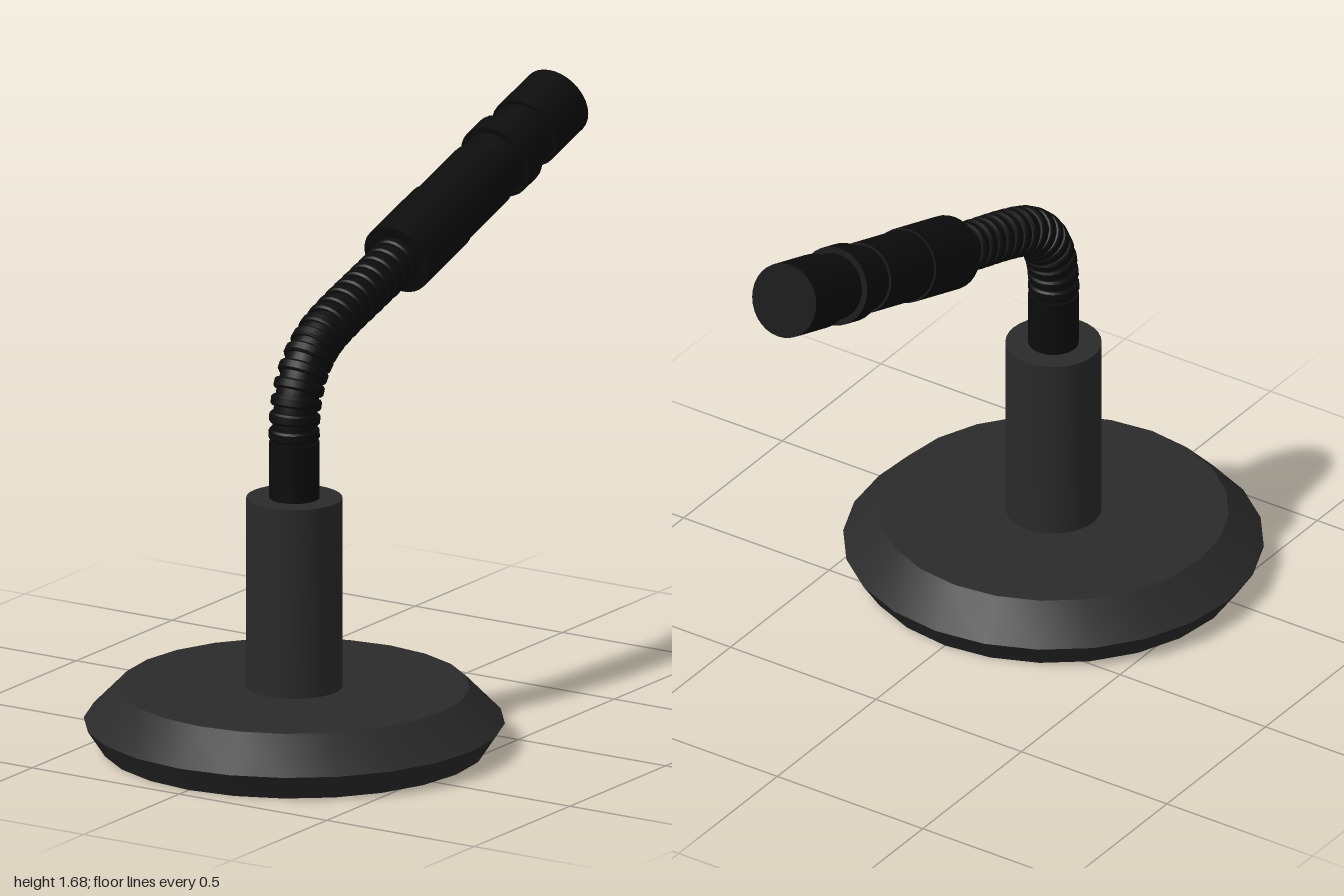
import * as THREE from 'three';
import { toCreasedNormals } from 'three/addons/utils/BufferGeometryUtils.js';

const UP = new THREE.Vector3(0, 1, 0);
const standMat = new THREE.MeshStandardMaterial({ color: 0x2a2a2a });
const micMat = new THREE.MeshStandardMaterial({ color: 0x0c0c0c });

// Solid of revolution from [radius, height] pairs, bottom to top
function turned(name, profile, sides, material) {
  const points = profile.map(([r, y]) => new THREE.Vector2(r, y));
  const geometry = toCreasedNormals(new THREE.LatheGeometry(points, sides), 0.5);
  const mesh = new THREE.Mesh(geometry, material);
  mesh.name = name;
  return mesh;
}

export function createModel() {
  const model = new THREE.Group();
  model.name = 'deskMicrophone';

  // Weighted base and stem
  const stand = new THREE.Group();
  stand.name = 'stand';
  stand.position.z = 0.4;
  stand.add(
    turned('base', [[0, 0], [0.55, 0], [0.6, 0.075], [0.5, 0.177], [0, 0.177]], 24, standMat),
    turned('stem', [[0, 0.17], [0.137, 0.17], [0.137, 0.735], [0, 0.735]], 32, standMat),
    turned('neckSocket', [[0, 0.73], [0.072, 0.73], [0.072, 0.9], [0, 0.9]], 32, micMat)
  );
  model.add(stand);

  // Flexible neck: a thin core with evenly spaced ribs
  const path = new THREE.CatmullRomCurve3([
    [0.4, 0.88], [0.4, 0.95], [0.385, 1.03], [0.343, 1.11], [0.27, 1.173],
    [0.17, 1.215], [0, 1.268], [-0.15, 1.315]
  ].map(([z, y]) => new THREE.Vector3(0, y, z)));
  const gooseneck = new THREE.Group();
  gooseneck.name = 'gooseneck';
  const core = new THREE.Mesh(new THREE.TubeGeometry(path, 60, 0.062, 24), micMat);
  core.name = 'neckCore';
  gooseneck.add(core);
  const ribCount = 17;
  for (let i = 0; i < ribCount; i++) {
    const u = (i + 1) / (ribCount + 0.5);
    const rib = turned('neckRib',
      [[0, -0.016], [0.068, -0.016], [0.073, -0.01], [0.073, 0.01], [0.068, 0.016], [0, 0.016]], 24, micMat);
    rib.position.copy(path.getPointAt(u));
    rib.quaternion.setFromUnitVectors(UP, path.getTangentAt(u));
    gooseneck.add(rib);
  }
  model.add(gooseneck);

  // Microphone head, turned along its own axis and tilted backwards
  const head = new THREE.Group();
  head.name = 'microphoneHead';
  head.position.set(0, 1.31, -0.135);
  head.quaternion.setFromUnitVectors(UP, new THREE.Vector3(0, 0.307, -0.952).normalize());
  head.add(
    turned('handle', [[0, 0], [0.108, 0], [0.108, 0.235], [0.103, 0.235], [0.103, 0.465], [0, 0.465]], 32, micMat),
    turned('capsuleNeck', [[0, 0.46], [0.096, 0.46], [0.096, 0.71], [0, 0.71]], 32, micMat),
    turned('ring', [[0, 0.54], [0.114, 0.54], [0.114, 0.61], [0, 0.61]], 32, micMat),
    turned('cap', [[0, 0.7], [0.108, 0.7], [0.108, 0.872], [0, 0.872]], 32, micMat)
  );
  model.add(head);

  return model;
}
